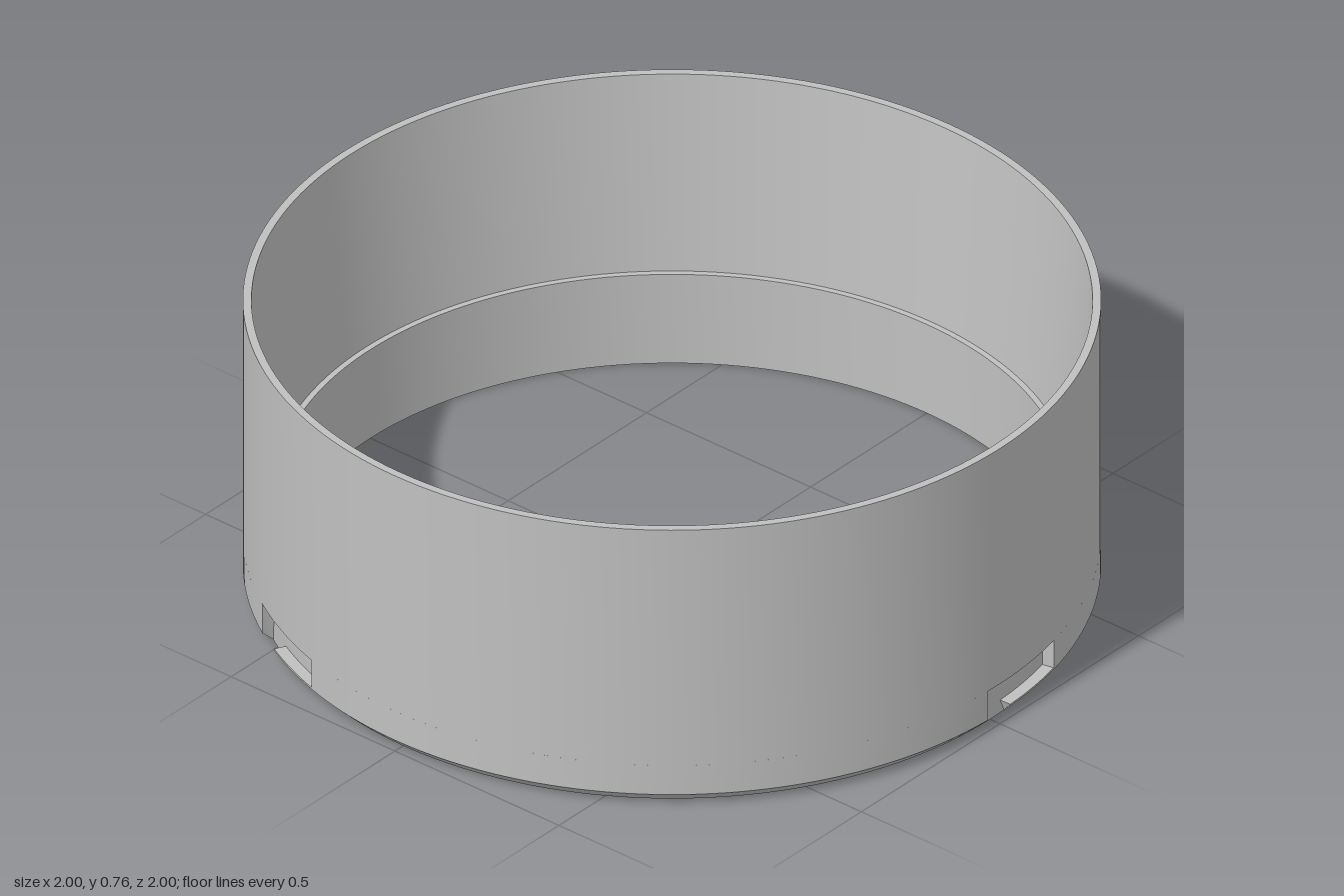
import * as THREE from 'three';
import { toCreasedNormals } from 'three/addons/utils/BufferGeometryUtils.js';

const DEG = Math.PI / 180;

// Solid arc: each profile row is [radius, y, startDegrees, endDegrees], listed from the bottom up
function arcBlock(rows, steps) {
  const pos = [];
  const point = (i, j) => {
    const [r, y, a0, a1] = rows[i];
    const a = (a0 + (a1 - a0) * j / steps) * DEG;
    return [r * Math.sin(a), y, r * Math.cos(a)];
  };
  const tri = (a, b, c) => pos.push(...a, ...b, ...c);
  for (let i = 0; i < rows.length - 1; i++) {
    for (let j = 0; j < steps; j++) {
      tri(point(i, j), point(i, j + 1), point(i + 1, j + 1));
      tri(point(i, j), point(i + 1, j + 1), point(i + 1, j));
    }
  }
  // end walls
  for (let k = 1; k < rows.length - 1; k++) {
    tri(point(0, 0), point(k, 0), point(k + 1, 0));
    tri(point(0, steps), point(k + 1, steps), point(k, steps));
  }
  const geo = new THREE.BufferGeometry();
  geo.setAttribute('position', new THREE.Float32BufferAttribute(pos, 3));
  return toCreasedNormals(geo, 0.5);
}

export function createModel() {
  const model = new THREE.Group();
  model.name = 'bayonetRing';
  const grey = new THREE.MeshStandardMaterial({ color: 0xc0c0c0 });
  grey.name = 'grey';

  const add = (name, geo, angle = 0) => {
    const mesh = new THREE.Mesh(geo, grey);
    mesh.name = name;
    mesh.rotation.y = angle;
    model.add(mesh);
  };

  // Ring wall: tapered bore, small inner ledge, recessed band at the slot depth
  const profile = [
    [0.92, 0], [0.97, 0], [0.97, 0.11], [1, 0.11], [1, 0.76],
    [0.98, 0.76], [0.935, 0.245], [0.92, 0.245], [0.92, 0],
  ].map(([r, y]) => new THREE.Vector2(r, y));
  add('ringWall', toCreasedNormals(new THREE.LatheGeometry(profile, 180), 0.5));

  // Chamfered lower skirt between slots, and the lip under each L-shaped slot
  const slotEnd = 13, slotStart = 117.6, flareStart = 116.9, neck = 2.2, flare = 3.1;
  const skirt = arcBlock([
    [0.97, 0, slotEnd, flareStart],
    [1, 0.03, slotEnd, slotStart],
    [1, 0.11, slotEnd, slotStart],
    [0.97, 0.11, slotEnd, slotStart],
  ], 52);
  const lip = arcBlock([
    [0.97, 0, flare, slotEnd],
    [1, 0.03, neck, slotEnd],
    [1, 0.035, neck, slotEnd],
    [0.97, 0.035, neck, slotEnd],
  ], 6);
  for (let i = 0; i < 3; i++) {
    add('lowerSkirt', skirt, i * 120 * DEG);
    add('slotLip', lip, i * 120 * DEG);
  }
  return model;
}
